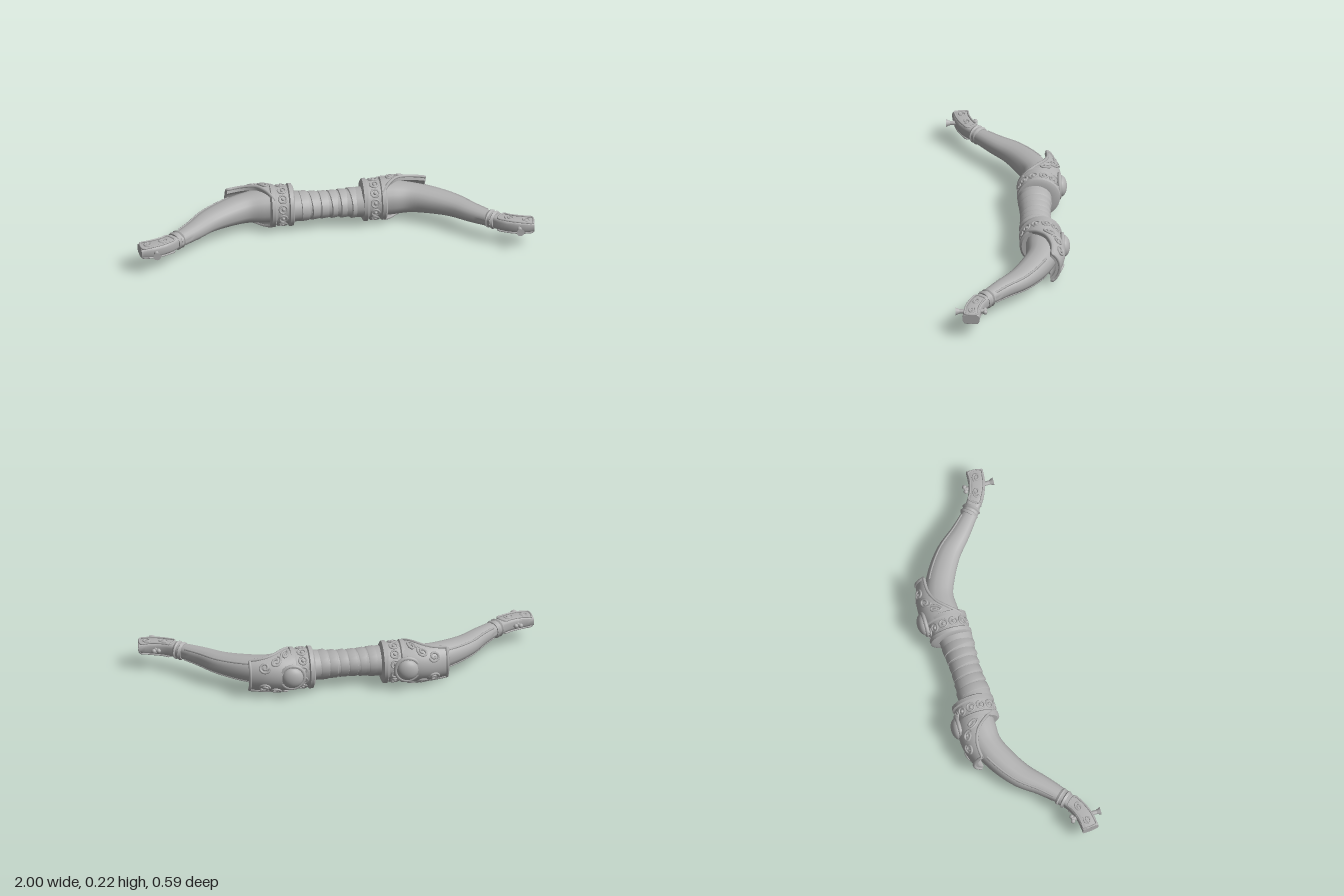
import * as THREE from 'three';
import { toCreasedNormals } from 'three/addons/utils/BufferGeometryUtils.js';

const V = (x, y, z) => new THREE.Vector3(x, y, z);
const grey = new THREE.MeshStandardMaterial({ color: 0xb2b2b2 });
grey.name = 'stone grey';
const MID_Y = 0.108;   // height of the bow's centre plane
const AXIS_Z = -0.15;  // z of the grip and collar axis

function add(parent, name, geometry) {
  const mesh = new THREE.Mesh(geometry, grey);
  mesh.name = name;
  parent.add(mesh);
  return mesh;
}

// Closed solid through a series of cross-section loops
function loft(loops, crease = 0.6) {
  const n = loops[0].length, pos = [], idx = [];
  loops.forEach(l => l.forEach(p => pos.push(p.x, p.y, p.z)));
  for (let i = 0; i < loops.length - 1; i++) {
    for (let j = 0; j < n; j++) {
      const k = (j + 1) % n, a = i * n + j, b = i * n + k;
      idx.push(a, b, b + n, a, b + n, a + n);
    }
  }
  // End caps, zipped across so that thin curved sections close properly
  const last = (loops.length - 1) * n;
  for (let j = 0; j < n / 2 - 1; j++) {
    const a = j, b = j + 1, c = n - 2 - j, d = n - 1 - j;
    idx.push(a, c, b, a, d, c);
    idx.push(last + a, last + b, last + c, last + a, last + c, last + d);
  }
  // Turn faces outward if the enclosed volume is negative
  let volume = 0;
  const at = i => V(pos[i * 3], pos[i * 3 + 1], pos[i * 3 + 2]);
  for (let i = 0; i < idx.length; i += 3) volume += at(idx[i]).dot(at(idx[i + 1]).cross(at(idx[i + 2])));
  if (volume < 0) idx.reverse();
  const g = new THREE.BufferGeometry();
  g.setAttribute('position', new THREE.Float32BufferAttribute(pos, 3));
  g.setIndex(idx);
  return toCreasedNormals(g, crease);
}

// Sweep in the xz plane; rows are [x, z, half width, half height]
function bar(rows, steps, sides, power) {
  const path = new THREE.CatmullRomCurve3(rows.map(r => V(r[0], 0, r[1])));
  const size = new THREE.CatmullRomCurve3(rows.map(r => V(r[2], r[3], 0)));
  const round = v => Math.sign(v) * Math.abs(v) ** power;
  const point = (t, c, s) => {
    const p = path.getPoint(t), d = path.getTangent(t), w = size.getPoint(t);
    return V(p.x - d.z * w.x * c, w.y * s, p.z + d.x * w.x * c);
  };
  const loops = [];
  for (let i = 0; i <= steps; i++) {
    loops.push(Array.from({ length: sides }, (_, j) => {
      const a = (j + 0.5) / sides * Math.PI * 2;
      return point(i / steps, round(Math.cos(a)), round(Math.sin(a)));
    }));
  }
  return { geometry: loft(loops), point };
}

// Turned part around the x axis; points are [x, radius]
function turned(points, sides = 32) {
  const g = new THREE.LatheGeometry(points.map(p => new THREE.Vector2(p[1], p[0])), sides);
  g.rotateZ(-Math.PI / 2);
  return toCreasedNormals(g, 0.6);
}

const cord = (points, radius, closed = false) =>
  new THREE.TubeGeometry(new THREE.CatmullRomCurve3(points, closed), points.length * 3, radius, 6, closed);

// Flat spiral in parameter space, mapped onto a surface
function spiral(map, u, v, ru, rv, turns, start) {
  return Array.from({ length: 15 }, (_, i) => {
    const k = 1 - i / 14 * 0.8, a = start + turns * Math.PI * 2 * i / 14;
    return map(u + ru * k * Math.cos(a), v + rv * k * Math.sin(a));
  });
}

function makeArm() {
  const arm = new THREE.Group();

  // Curved limb
  const limb = bar([
    [0.20, -0.15, 0.085, 0.085], [0.32, -0.158, 0.086, 0.083], [0.42, -0.143, 0.074, 0.072],
    [0.52, -0.098, 0.070, 0.062], [0.62, -0.030, 0.062, 0.051], [0.70, 0.053, 0.050, 0.044],
    [0.80, 0.145, 0.038, 0.035]], 28, 16, 0.85);
  add(arm, 'limb', limb.geometry);
  for (const s of [1, -1]) {
    const ridge = Array.from({ length: 14 }, (_, i) => limb.point(0.42 + i * 0.04, -0.72, s * 0.73));
    add(arm, 'limbRidge', cord(ridge, 0.006));
  }

  // Collar with flanges
  const collar = add(arm, 'collar', turned([
    [0.17, 0.06], [0.17, 0.092], [0.178, 0.107], [0.196, 0.109], [0.202, 0.100], [0.264, 0.100],
    [0.27, 0.108], [0.288, 0.108], [0.295, 0.098], [0.295, 0.07]]));
  collar.position.z = AXIS_Z;
  for (let i = 0; i < 12; i++) {
    const a = (i + 0.5) / 12 * Math.PI * 2;
    const holder = new THREE.Group();
    holder.name = 'collarOrnament';
    holder.position.set(0.233, 0.1 * Math.sin(a), AXIS_Z + 0.1 * Math.cos(a));
    holder.rotation.x = -a;
    add(holder, 'ornamentRing', new THREE.TorusGeometry(0.02, 0.005, 6, 12));
    add(holder, 'ornamentStud', new THREE.SphereGeometry(0.009, 8, 6));
    arm.add(holder);
  }

  // Guard plate wrapping the back; rows are [x, centre z, z radius, y radius, half angle]
  const rows = [
    [0.27, -0.155, 0.108, 0.104, 2.5], [0.31, -0.16, 0.108, 0.104, 1.95], [0.36, -0.165, 0.105, 0.102, 1.5],
    [0.42, -0.172, 0.090, 0.095, 1.3], [0.50, -0.163, 0.075, 0.090, 1.1]];
  const place = new THREE.CatmullRomCurve3(rows.map(r => V(r[0], r[1], r[2])));
  const span = new THREE.CatmullRomCurve3(rows.map(r => V(r[3], r[4], 0)));
  const skin = (t, u, off = 0) => {
    const p = place.getPoint(t), q = span.getPoint(t), a = u * q.y;
    return V(p.x, (q.x + off) * Math.sin(a), p.y - (p.z + off) * Math.cos(a));
  };
  const loops = [];
  for (let i = 0; i <= 14; i++) {
    const us = Array.from({ length: 17 }, (_, j) => j / 8 - 1), t = i / 14;
    loops.push([...us.map(u => skin(t, u)), ...us.reverse().map(u => skin(t, u, -0.02))]);
  }
  add(arm, 'guardPlate', loft(loops));
  const edge = s => Array.from({ length: 10 }, (_, i) => skin(i / 9, s));
  const tipEdge = Array.from({ length: 7 }, (_, i) => skin(1, 0.8 - i * 0.8 / 3));
  add(arm, 'guardRim', cord([...edge(0.97), ...tipEdge, ...edge(-0.97).reverse()], 0.008));

  // Scrollwork on the guard
  for (const s of [1, -1]) {
    for (const [t, u, rt, ru, start] of [
      [0.30, 0.68, 0.12, 0.15, 0], [0.55, 0.62, 0.13, 0.19, 2], [0.78, 0.5, 0.10, 0.24, 3.5]]) {
      add(arm, 'guardScroll', cord(spiral((a, b) => skin(a, b * s, 0.002), t, u, rt, ru, 1.5, start), 0.006));
    }
  }

  // Domed boss on the back of the guard
  const boss = add(arm, 'boss', new THREE.SphereGeometry(0.055, 20, 12));
  boss.scale.z = 0.6;
  boss.position.set(0.292, 0, -0.262);
  const bossRing = add(arm, 'bossRing', new THREE.TorusGeometry(0.06, 0.010, 8, 24));
  bossRing.position.set(0.292, 0, -0.256);

  // Binding ring between limb and tip
  const ring = new THREE.Group();
  ring.name = 'tipRing';
  ring.position.set(0.798, 0, 0.137);
  ring.rotation.y = -0.72;
  add(ring, 'ringBand', turned([[-0.024, 0.03], [-0.024, 0.042], [-0.012, 0.048], [-0.006, 0.041],
    [0.006, 0.041], [0.012, 0.048], [0.024, 0.042], [0.024, 0.03]], 16));
  arm.add(ring);

  // Squared tip with framed scroll panels
  const tip = bar([
    [0.80, 0.14, 0.034, 0.034], [0.86, 0.185, 0.039, 0.033],
    [0.93, 0.212, 0.042, 0.031], [0.997, 0.220, 0.043, 0.024]], 12, 16, 0.5);
  add(arm, 'tip', tip.geometry);
  for (const s of [1, -1]) {
    const side = c => Array.from({ length: 7 }, (_, i) => tip.point(0.2 + i * 0.125, c, s));
    add(arm, 'tipFrame', cord([...side(0.78), ...side(-0.78).reverse()], 0.005, true));
    for (const t of [0.42, 0.78]) {
      add(arm, 'tipScroll', cord(spiral((a, b) => tip.point(a, b, s), t, 0, 0.12, 0.45, 1.4, t * 5), 0.005));
    }
  }

  // Cord peg through the tip
  const peg = add(arm, 'peg', new THREE.CylinderGeometry(0.011, 0.011, 0.14, 10));
  peg.rotation.x = Math.PI / 2;
  peg.position.set(0.918, 0, 0.215);
  const head = add(arm, 'pegHead', new THREE.CylinderGeometry(0.02, 0.011, 0.02, 10));
  head.rotation.x = Math.PI / 2;
  head.position.set(0.918, 0, 0.285);
  for (const dx of [-0.012, 0.012]) {
    const knob = add(arm, 'pegKnob', new THREE.SphereGeometry(0.012, 10, 8));
    knob.position.set(0.918 + dx, 0, 0.148);
  }
  return arm;
}

export function createModel() {
  const model = new THREE.Group();
  model.name = 'bow';
  const body = new THREE.Group();
  body.name = 'bowBody';
  body.position.y = MID_Y;
  model.add(body);

  // Waisted grip with overlapping wrap turns
  const grip = new THREE.Group();
  grip.name = 'grip';
  grip.position.z = -0.13;
  grip.scale.y = 0.88;
  add(grip, 'gripCore', turned([[-0.19, 0.086], [-0.14, 0.083], [-0.07, 0.075], [0, 0.073],
    [0.07, 0.075], [0.14, 0.083], [0.19, 0.086]], 24));
  for (let i = 0; i < 6; i++) {
    const x = -0.125 + i * 0.05, r = 0.0745 + 0.5 * x * x;
    const wrap = add(grip, 'gripWrap', turned([[-0.022, r - 0.003], [-0.018, r + 0.003], [0.018, r + 0.001], [0.024, r - 0.003]], 24));
    wrap.position.x = x;
    wrap.rotation.y = i % 2 ? 0.16 : 0.1;
  }
  body.add(grip);

  // The arms are symmetric in y, so a half turn mirrors them
  for (const [name, turn] of [['leftArm', 0], ['rightArm', Math.PI]]) {
    const arm = makeArm();
    arm.name = name;
    arm.rotation.z = turn;
    body.add(arm);
  }
  return model;
}
